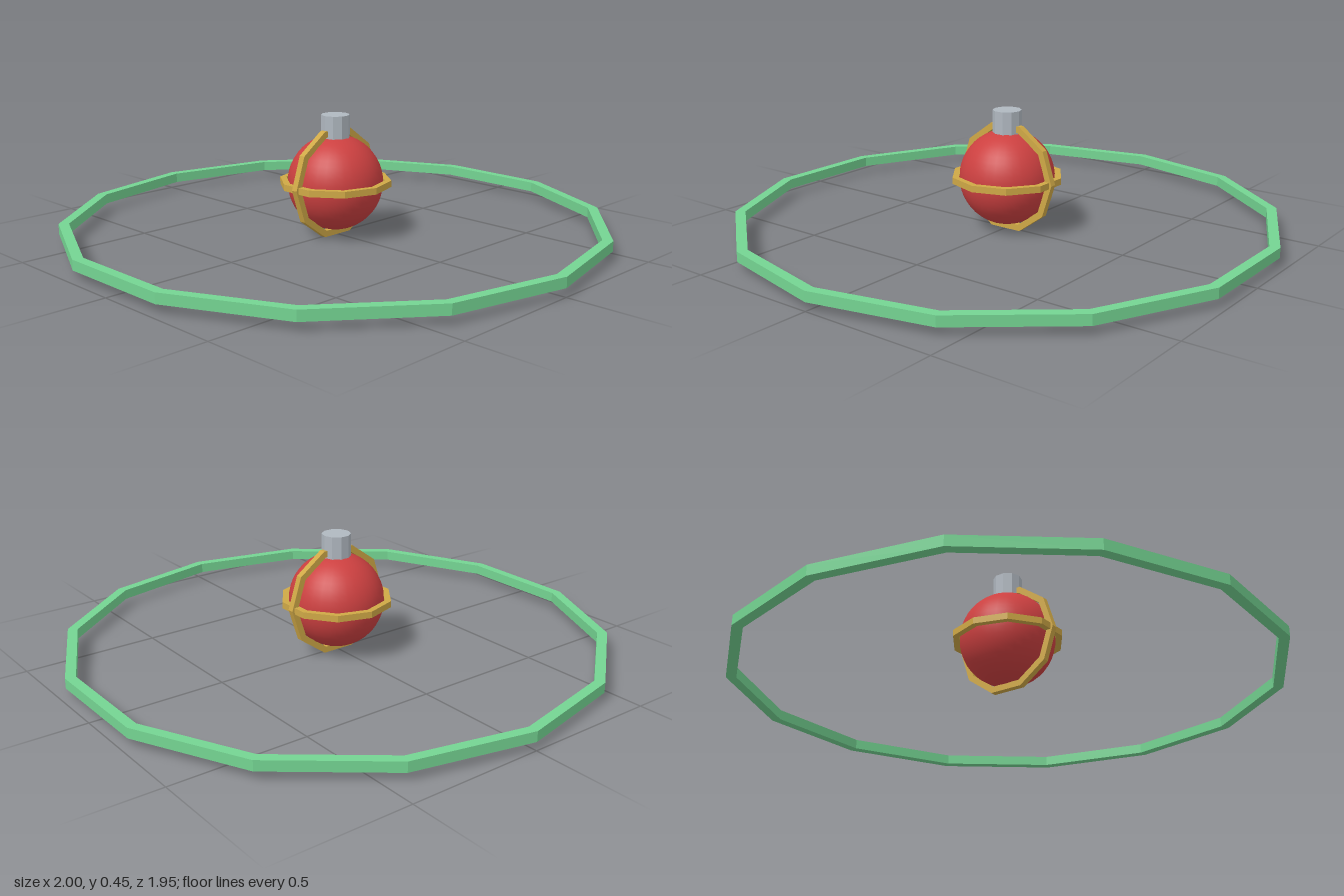
import * as THREE from 'three';

const mat = (name, color, flatShading = true) => {
  const m = new THREE.MeshStandardMaterial({ color, flatShading });
  m.name = name;
  return m;
};

// Faceted hoop of square section about the y axis, with corners on the x axis
function hoopGeometry(outer, thickness, sides) {
  const h = thickness / 2, inner = outer - thickness;
  const profile = [[inner, -h], [outer, -h], [outer, h], [inner, h], [inner, -h]]
    .map(([x, y]) => new THREE.Vector2(x, y));
  return new THREE.LatheGeometry(profile, sides, Math.PI / 2);
}

export function createModel() {
  const model = new THREE.Group();
  const red = mat('red', 0xcc4040, false);
  const gold = mat('gold', 0xcfa846);
  const green = mat('green', 0x74d492);
  const grey = mat('grey', 0xb0b8c0);
  const centreY = 0.197;

  const add = (name, geometry, material, y) => {
    const mesh = new THREE.Mesh(geometry, material);
    mesh.name = name;
    mesh.position.y = y;
    model.add(mesh);
    return mesh;
  };

  // Wide ground ring
  add('outerRing', hoopGeometry(1, 0.037, 14), green, 0.05);

  // Ball with a short cap
  add('ball', new THREE.SphereGeometry(0.175, 32, 24), red, centreY);
  add('cap', new THREE.CylinderGeometry(0.053, 0.053, 0.1, 10), grey, 0.397);

  // Two crossing bands: one level, one upright from front to back
  add('levelBand', hoopGeometry(0.206, 0.024, 10), gold, centreY);
  const upright = hoopGeometry(0.206, 0.024, 10).rotateZ(Math.PI / 2).rotateX(Math.PI / 2);
  add('uprightBand', upright, gold, centreY);

  return model;
}
